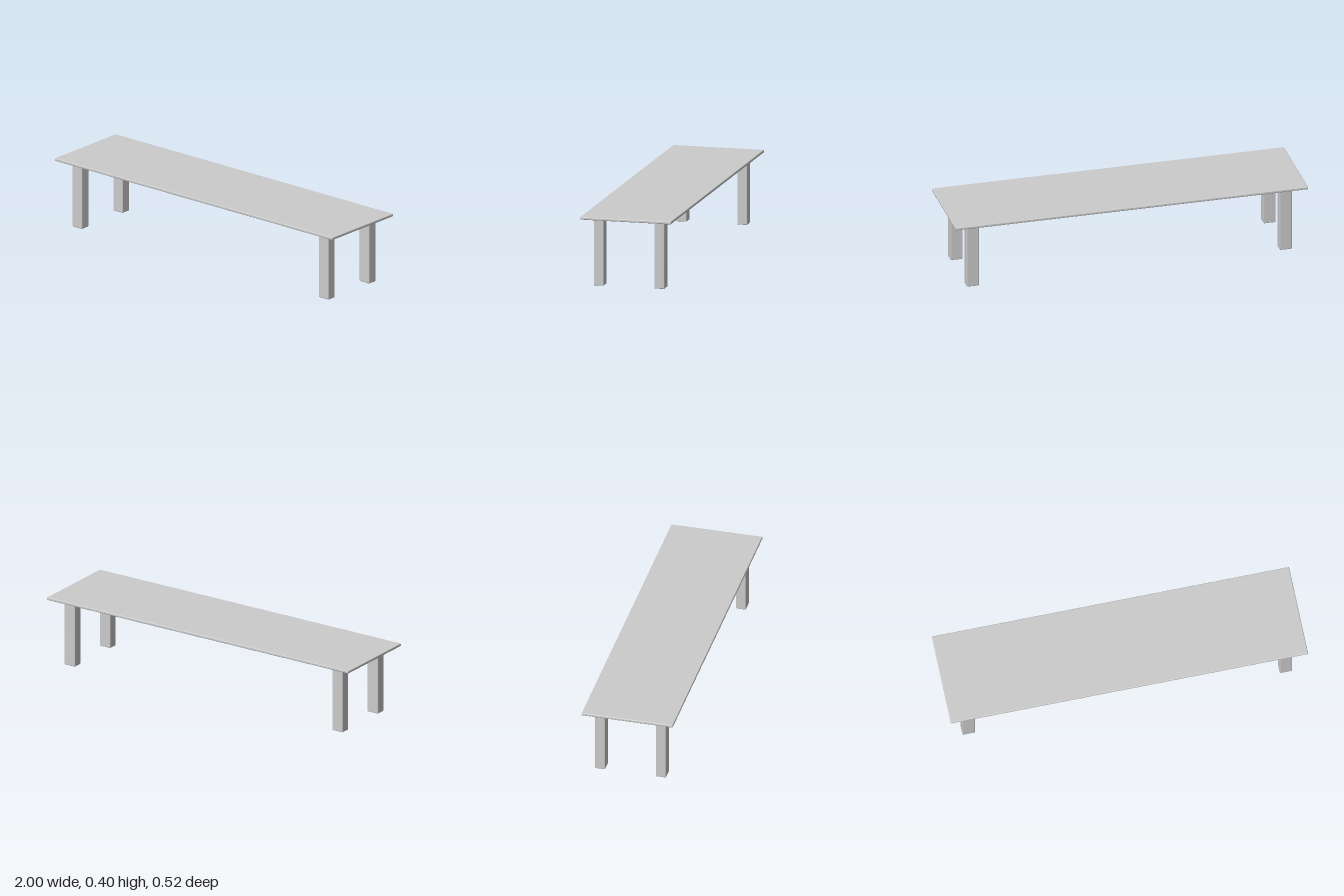
import * as THREE from 'three';
import { RoundedBoxGeometry } from 'three/addons/geometries/RoundedBoxGeometry.js';

export function createModel() {
  const model = new THREE.Group();
  model.name = 'bench';
  const material = new THREE.MeshStandardMaterial({ color: 0xcccccc });

  // Box with softened edges, placed by its bottom height
  const addBox = (name, [w, h, d], [x, bottom, z], radius) => {
    const mesh = new THREE.Mesh(new RoundedBoxGeometry(w, h, d, 2, radius), material);
    mesh.name = name;
    mesh.position.set(x, bottom + h / 2, z);
    model.add(mesh);
  };

  // Thin top slab
  addBox('top', [2, 0.016, 0.516], [0, 0.38, 0], 0.005);

  // Four rectangular legs, set in from the corners and let slightly into the top
  for (const [side, sx] of [['Left', 1], ['Right', -1]]) {
    for (const [end, sz] of [['front', 1], ['back', -1]]) {
      addBox(`${end}${side}Leg`, [0.07, 0.386, 0.057], [sx * 0.888, 0, sz * 0.172], 0.005);
    }
  }

  return model;
}
